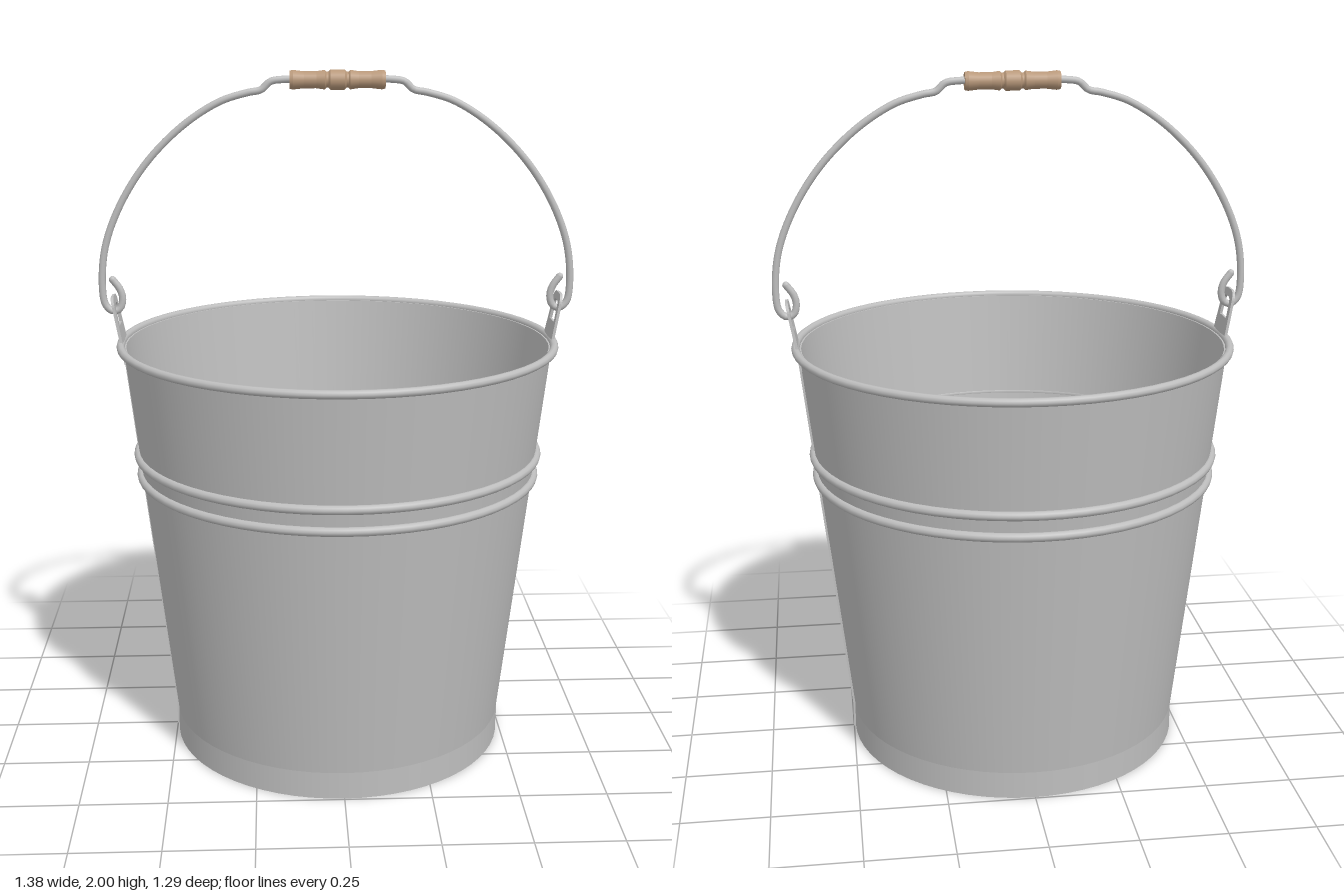
import * as THREE from 'three';
import { mergeGeometries } from 'three/addons/utils/BufferGeometryUtils.js';

const SEGMENTS = 64;

// Lathe whose profile corners stay sharp: one band per profile edge
function sharpLathe(points, segments = SEGMENTS) {
  const bands = [];
  for (let i = 0; i < points.length - 1; i++) {
    const pair = [points[i], points[i + 1]].map(([r, y]) => new THREE.Vector2(r, y));
    bands.push(new THREE.LatheGeometry(pair, segments));
  }
  return mergeGeometries(bands);
}

function add(parent, name, geometry, material) {
  const mesh = new THREE.Mesh(geometry, material);
  mesh.name = name;
  parent.add(mesh);
  return mesh;
}

// Thin strip standing on the wall from one (x, y) point to another
function addStrip(parent, name, [x0, y0], [x1, y1], material) {
  const length = Math.hypot(x1 - x0, y1 - y0);
  const strip = add(parent, name, new THREE.BoxGeometry(0.012, length, 0.012), material);
  strip.position.set((x0 + x1) / 2, (y0 + y1) / 2, 0);
  strip.rotation.z = -Math.atan2(x1 - x0, y1 - y0);
}

// Plate with an arched outline and a slot for the wire
function earGeometry() {
  const arch = (path, w, top, y0, y1, r) => {
    path.moveTo(-w, y0);
    path.lineTo(w, y0);
    path.lineTo(top, y1 - r);
    path.quadraticCurveTo(top, y1, top - r, y1);
    path.lineTo(-top + r, y1);
    path.quadraticCurveTo(-top, y1, -top, y1 - r);
    path.closePath();
    return path;
  };
  const shape = arch(new THREE.Shape(), 0.066, 0.052, 0, 0.195, 0.035);
  shape.holes.push(arch(new THREE.Path(), 0.034, 0.03, 0.11, 0.172, 0.02));
  const geometry = new THREE.ExtrudeGeometry(shape, { depth: 0.008, bevelEnabled: false, curveSegments: 8 });
  return geometry.translate(0, 0, -0.004).rotateY(Math.PI / 2);
}

export function createModel() {
  const model = new THREE.Group();
  model.name = 'bucket';
  const metal = new THREE.MeshStandardMaterial({ color: 0xbebebe });
  metal.name = 'galvanised grey';
  const wood = new THREE.MeshStandardMaterial({ color: 0xb8987a });
  wood.name = 'light wood';

  // Body: skirt, wall, inside, floor with two pressed ridges, recessed underside
  add(model, 'body', sharpLathe([
    [0.495, 0], [0.495, 0.08], [0.624, 1.22], [0.616, 1.22], [0.485, 0.075],
    [0.37, 0.075], [0.36, 0.09], [0.335, 0.075],
    [0.19, 0.075], [0.18, 0.088], [0.165, 0.075], [0, 0.075],
  ]), metal);
  add(model, 'underside', sharpLathe([
    [0, 0.065], [0.487, 0.065], [0.487, 0], [0.495, 0],
  ]), metal);

  // Rolled rim and the two wall beads
  for (const [name, radius, y, tube] of [
    ['rim', 0.632, 1.222, 0.012],
    ['upperBead', 0.591, 0.898, 0.013],
    ['lowerBead', 0.584, 0.835, 0.013],
  ]) {
    const ring = add(model, name, new THREE.TorusGeometry(radius, tube, 10, SEGMENTS), metal);
    ring.rotation.x = Math.PI / 2;
    ring.position.y = y;
  }

  // Seams and ears, on both sides
  for (const side of [0, 1]) {
    const group = new THREE.Group();
    group.name = side ? 'rightSide' : 'leftSide';
    group.rotation.y = side * Math.PI;
    addStrip(group, 'lowerSeam', [0.495, 0], [0.495, 0.08], metal);
    addStrip(group, 'wallSeam', [0.495, 0.08], [0.624, 1.22], metal);
    const ear = add(group, 'ear', earGeometry(), metal);
    ear.position.set(0.615, 1.17, 0);
    ear.rotation.z = -0.19;
    model.add(group);
  }

  // Wire handle: half a path with its hooked end, mirrored across the middle
  const half = [
    [0.651, 1.408], [0.63, 1.378], [0.624, 1.348], [0.633, 1.322], [0.652, 1.315],
    [0.673, 1.333], [0.681, 1.385], [0.669, 1.5], [0.624, 1.618], [0.545, 1.74],
    [0.44, 1.844], [0.333, 1.912], [0.254, 1.937], [0.215, 1.945], [0.19, 1.967],
    [0.155, 1.973],
  ];
  const mirrored = half.map(([x, y]) => [-x, y]).reverse();
  const path = new THREE.CatmullRomCurve3(
    [...half, [0, 1.973], ...mirrored].map(([x, y]) => new THREE.Vector3(x, y, 0)));
  add(model, 'wireHandle', new THREE.TubeGeometry(path, 220, 0.0105, 10), metal);
  for (const s of [-1, 1]) {
    const tip = add(model, 'hookTip', new THREE.SphereGeometry(0.0105, 10, 8), metal);
    tip.position.set(s * 0.651, 1.408, 0);
  }

  // Turned wooden grip: flared ends, slim waists and a middle bead
  const right = [
    [0.02, 0.028], [0.026, 0.022], [0.031, 0.022], [0.036, 0.027],
    [0.06, 0.0235], [0.095, 0.0235], [0.125, 0.027], [0.135, 0.025], [0.135, 0],
  ];
  const profile = [
    ...right.map(([x, r]) => [r, -x]).reverse(),
    ...right.map(([x, r]) => [r, x]),
  ];
  const grip = add(model, 'grip', sharpLathe(profile, 24), wood);
  grip.rotation.z = Math.PI / 2;
  grip.position.y = 1.972;

  return model;
}
